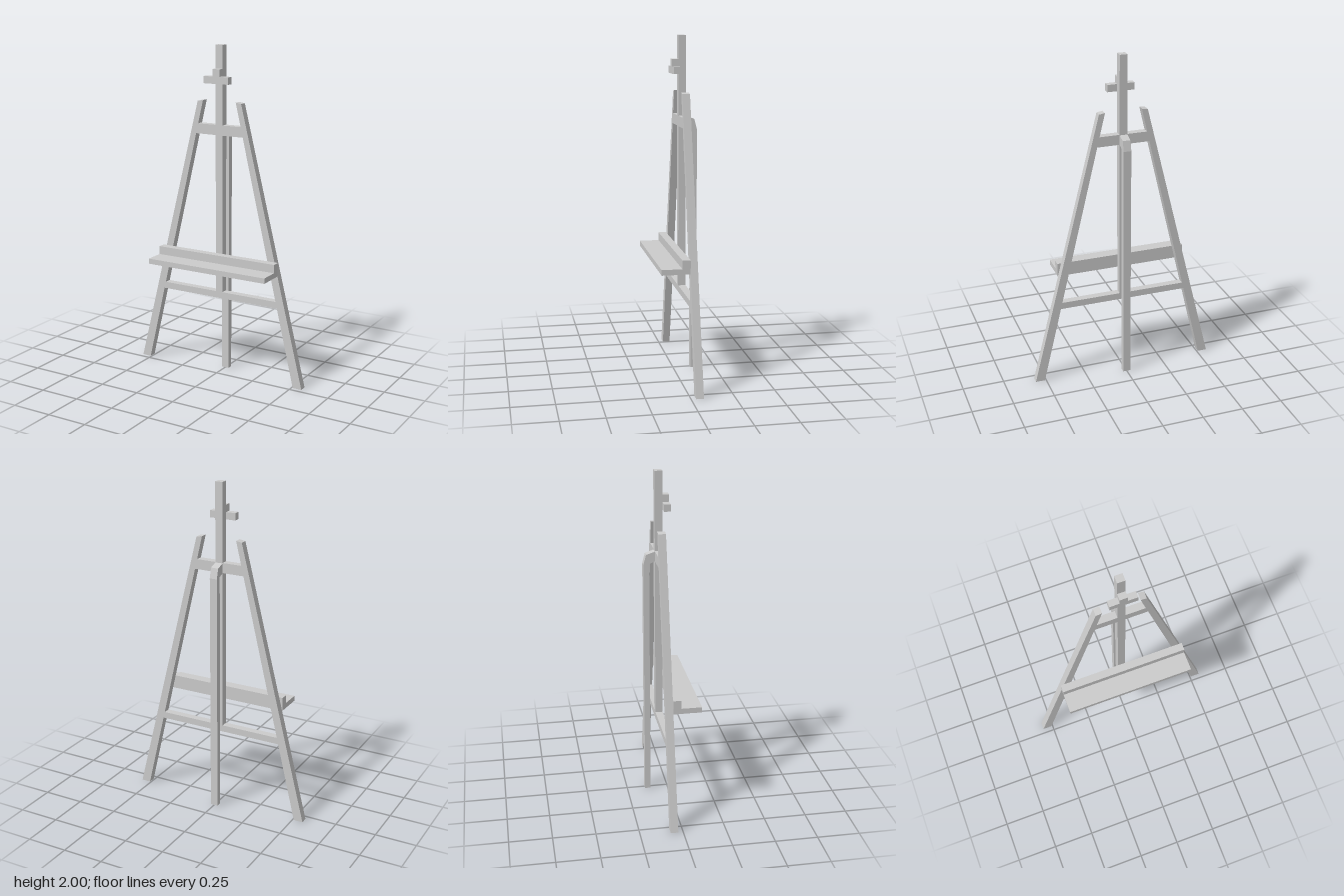
import * as THREE from 'three';

const material = new THREE.MeshStandardMaterial({ color: 0xcccccc, flatShading: true });
const BACK = -0.073, FRONT = -0.029; // depth range of the main frame

export function createModel() {
  const group = new THREE.Group();
  group.name = 'easel';

  const add = (name, geometry) => {
    const mesh = new THREE.Mesh(geometry, material);
    mesh.name = name;
    group.add(mesh);
    return mesh;
  };
  // box given by its extents, centred on x = 0
  const bar = (name, halfWidth, y0, y1, z0, z1) =>
    add(name, new THREE.BoxGeometry(halfWidth * 2, y1 - y0, z1 - z0))
      .position.set(0, (y0 + y1) / 2, (z0 + z1) / 2);
  const extrude = (points, depth) => new THREE.ExtrudeGeometry(
    new THREE.Shape(points.map(([x, y]) => new THREE.Vector2(x, y))),
    { depth, bevelEnabled: false });

  // splayed, tapering front legs
  for (const [name, s] of [['leftLeg', 1], ['rightLeg', -1]]) {
    const outline = [[0.508, 0], [0.565, 0], [0.146, 1.669], [0.11, 1.675]];
    add(name, extrude(outline.map(([x, y]) => [s * x, y]), FRONT - BACK)).position.z = BACK;
  }

  // cross rails, with ends cut along the inner edge of the legs
  const inner = (y) => 0.51 - 0.238 * y;
  for (const [name, y0, y1] of [['upperRail', 1.475, 1.535], ['lowerRail', 0.477, 0.517]]) {
    add(name, extrude([[-inner(y0), y0], [inner(y0), y0], [inner(y1), y1], [-inner(y1), y1]],
      FRONT - BACK)).position.z = BACK;
  }

  // central mast
  bar('mast', 0.023, 0.477, 2, BACK, FRONT);

  // rear leg with its bent top, profile drawn as (depth behind centre, height)
  const rearLeg = extrude([[0.106, 0], [0.14, 0], [0.14, 1.455], [0.124, 1.515],
    [0.07, 1.533], [0.07, 1.475], [0.106, 1.46]], 0.046);
  rearLeg.rotateY(Math.PI / 2).translate(-0.023, 0, 0);
  add('rearLeg', rearLeg);

  // canvas shelf and the ledge along its back
  bar('shelf', 0.397, 0.676, 0.708, FRONT, 0.137);
  bar('shelfLedge', 0.397, 0.708, 0.758, FRONT, 0.018);

  // top canvas clamp
  bar('clampBar', 0.081, 1.779, 1.821, FRONT, 0.009);
  bar('clampBlock', 0.023, 1.821, 1.864, FRONT, 0.009);

  return group;
}
